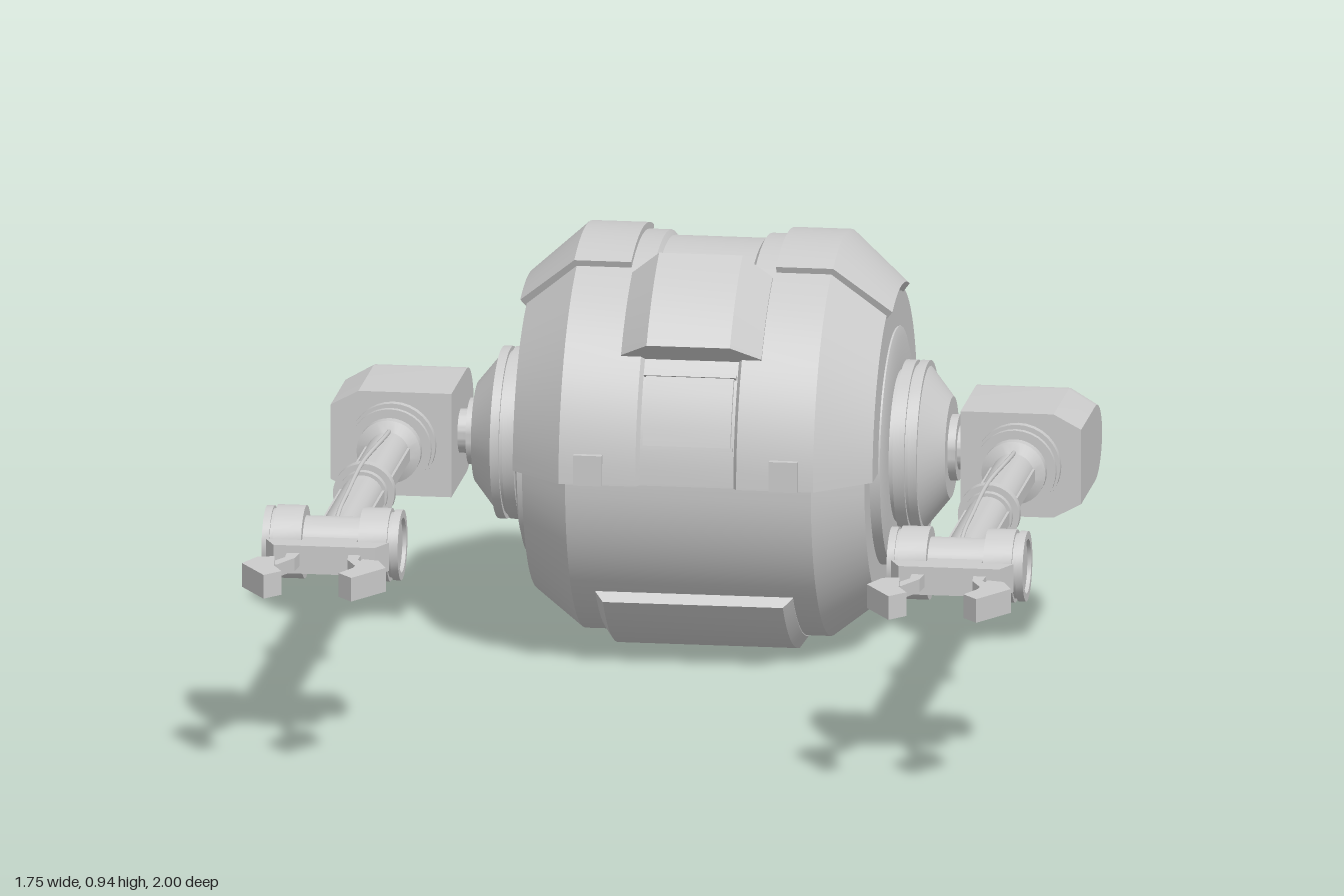
import * as THREE from 'three';
import { toCreasedNormals } from 'three/addons/utils/BufferGeometryUtils.js';

const mat = new THREE.MeshStandardMaterial({ color: 0xcccccc, side: THREE.DoubleSide });
const CY = 0.445, CZ = -0.53; // body axis
const ARM_X = 0.712;

function add(parent, name, geo, x = 0, y = 0, z = 0) {
  const m = new THREE.Mesh(geo, mat);
  m.name = name;
  m.position.set(x, y, z);
  parent.add(m);
  return m;
}

const shapeOf = pts => new THREE.Shape(pts.map(p => new THREE.Vector2(p[0], p[1])));

// Closed [x, radius] outline swept about the x axis, degrees from +z up towards +y
function sweep(pts, from, to) {
  const steps = Math.max(4, Math.ceil((to - from) / 5));
  const g = new THREE.ExtrudeGeometry(shapeOf(pts), { depth: 1, steps, bevelEnabled: false });
  const p = g.attributes.position;
  for (let i = 0; i < p.count; i++) {
    const a = THREE.MathUtils.degToRad(to + (from - to) * p.getZ(i)), r = p.getY(i);
    p.setXYZ(i, p.getX(i), r * Math.sin(a), r * Math.cos(a));
  }
  return toCreasedNormals(g, 0.45);
}

// Mirrors the +x half of an outline (listed from the end towards the middle)
const mirrored = half => [...half, ...half.slice().reverse().map(([x, r]) => [-x, r])];

// Lathe of [radius, distance] points along +z or the x axis
function turned(pts, axis, segments = 32) {
  const g = new THREE.LatheGeometry(pts.map(p => new THREE.Vector2(p[0], p[1])), segments);
  if (axis === 'z') g.rotateX(Math.PI / 2);
  else g.rotateZ(-Math.PI / 2);
  return toCreasedNormals(g, 0.5);
}

// Flat plate outlined in [x, z], centred on y = 0
function plate(pts, thickness) {
  const g = new THREE.ExtrudeGeometry(shapeOf(pts), { depth: thickness, bevelEnabled: false });
  g.translate(0, 0, -thickness / 2);
  return g.rotateX(Math.PI / 2);
}

function makeBody() {
  const body = new THREE.Group();
  body.name = 'body';
  body.position.set(0, CY, CZ);
  const part = (name, pts, a, b) => add(body, name, sweep(pts, a, b));

  part('lowerShell', mirrored([[0.39, 0.1], [0.39, 0.35], [0.28, 0.435]]), 180, 360);
  part('upperShell', mirrored([[0.41, 0.1], [0.41, 0.36], [0.29, 0.47], [0.115, 0.47], [0.107, 0.458]]), 0, 180);

  // Hood and hatch on the front of the centre groove
  part('hood', mirrored([[0.16, 0.44], [0.16, 0.475], [0.095, 0.535]]), 36.5, 65);
  part('hatch', mirrored([[0.1, 0.44], [0.1, 0.468]]), 11.5, 31);
  for (const a of [10.5, 31]) part('hatchFrame', mirrored([[0.105, 0.44], [0.105, 0.473]]), a, a + 1);

  // Raised lower panels
  part('frontLowerPanel', mirrored([[0.225, 0.42], [0.225, 0.437], [0.205, 0.465]]), -80, -40);
  part('backLowerPanel', mirrored([[0.2, 0.42], [0.2, 0.45]]), 191, 214);

  for (const s of [1, -1]) {
    // Plates wrapping over the upper corners
    const cover = [[0.165, 0.44], [0.165, 0.485], [0.295, 0.485], [0.424, 0.37], [0.41, 0.35], [0.28, 0.44]];
    part('topPlate', cover.map(([x, r]) => [s * x, r]), 68, 112);
    add(body, 'frontLug', new THREE.BoxGeometry(0.065, 0.07, 0.06), s * 0.223, 0.035, 0.45);

    // Stepped shoulder socket
    const socket = turned([
      [0.27, 0.37], [0.27, 0.414], [0.25, 0.42], [0.172, 0.42], [0.172, 0.432], [0.195, 0.432], [0.195, 0.458],
      [0.185, 0.458], [0.185, 0.466], [0.195, 0.466], [0.195, 0.486], [0.182, 0.486], [0.115, 0.54],
      [0.075, 0.54], [0.075, 0.558], [0.05, 0.558], [0.05, 0.6], [0.001, 0.6]], 'x', 48);
    const m = add(body, 'shoulderSocket', socket);
    if (s < 0) m.rotation.y = Math.PI;
  }
  return body;
}

// Shoulder housing: block rounded at the back with a tapered outer face
function makeHousing(s) {
  const g = new THREE.Group();
  g.name = 'shoulderHousing';
  const shape = new THREE.Shape();
  shape.moveTo(0.385, -0.12);
  shape.lineTo(0.625, -0.12);
  shape.absarc(0.625, 0, 0.12, -Math.PI / 2, Math.PI / 2, false);
  shape.lineTo(0.385, 0.12);
  shape.closePath();
  const slab = (x, depth, taper) => {
    const e = new THREE.ExtrudeGeometry(shape, { depth, bevelEnabled: false, curveSegments: 20 });
    const p = e.attributes.position;
    for (let i = 0; i < p.count; i++) {
      const k = p.getZ(i) > depth / 2 ? taper : 1;
      p.setY(i, p.getY(i) * k);
      p.setX(i, 0.385 + (p.getX(i) - 0.385) * (1 - (1 - k) * 0.25));
    }
    e.rotateY(Math.PI / 2).translate(x, 0, 0);
    return toCreasedNormals(e, 0.5);
  };
  add(g, 'housingBlock', slab(0.58, 0.212, 1));
  add(g, 'housingCap', slab(0.792, 0.063, 0.72));
  g.position.y = CY;
  if (s < 0) g.rotation.z = Math.PI;
  return g;
}

function makeArm(s) {
  const arm = new THREE.Group();
  arm.name = s > 0 ? 'leftArm' : 'rightArm';
  arm.position.set(s * ARM_X, CY, 0);

  // Stepped collar, tube and mid-arm rings
  add(arm, 'armTube', turned([
    [0.098, -0.39], [0.098, -0.365], [0.085, -0.365], [0.085, -0.345], [0.093, -0.345], [0.093, -0.33],
    [0.073, -0.33], [0.073, -0.305], [0.048, -0.295], [0.048, 0.05], [0.056, 0.05], [0.056, 0.065],
    [0.07, 0.065], [0.07, 0.095], [0.056, 0.095], [0.056, 0.115], [0.048, 0.115], [0.048, 0.51], [0.03, 0.53]], 'z'));

  // Cable along the top and slim rails on the sides of the tube
  const path = new THREE.CatmullRomCurve3([
    [0, 0.045, -0.33], [0.008, 0.063, -0.2], [-0.004, 0.07, 0.08], [0, 0.066, 0.35], [0, 0.055, 0.49], [0, 0.03, 0.57],
  ].map(p => new THREE.Vector3(...p)));
  add(arm, 'cable', new THREE.TubeGeometry(path, 40, 0.005, 8));
  for (const k of [1, -1]) add(arm, 'armRail', new THREE.BoxGeometry(0.012, 0.03, 0.8), k * 0.045, 0, 0.11);

  // Wrist: narrow hub between two banded drums
  add(arm, 'wristHub', turned([[0.06, -0.08], [0.06, 0.08]], 'x'), 0, 0, 0.56);
  for (const k of [1, -1]) {
    const drum = add(arm, 'wristDrum', turned([
      [0.05, 0.065], [0.083, 0.065], [0.083, 0.13], [0.074, 0.13], [0.074, 0.138], [0.08, 0.138],
      [0.08, 0.155], [0.062, 0.155], [0.062, 0.146], [0.001, 0.146]], 'x'), 0, 0, 0.56);
    if (k < 0) drum.rotation.y = Math.PI;
  }

  // Gripper palm and fingers
  add(arm, 'palmNeck', new THREE.BoxGeometry(0.125, 0.05, 0.09), 0, 0, 0.645);
  add(arm, 'palm', plate([[-0.14, 0.675], [0.14, 0.675], [0.115, 0.73], [-0.115, 0.73]], 0.065));
  for (const k of [1, -1]) {
    const flip = pts => pts.map(([x, z]) => [k * x, z]);
    add(arm, 'fingerLink', plate(flip([[0.055, 0.72], [0.085, 0.72], [0.083, 0.77], [0.118, 0.84], [0.092, 0.845], [0.06, 0.775]]), 0.03));
    add(arm, 'fingerClaw', plate(flip([[0.138, 0.825], [0.1, 0.815], [0.09, 0.9], [0.065, 0.953], [0.1, 0.995], [0.164, 0.89]]), 0.055));
  }
  return arm;
}

export function createModel() {
  const model = new THREE.Group();
  model.name = 'twoArmedPod';
  model.add(makeBody());
  for (const s of [1, -1]) model.add(makeHousing(s), makeArm(s));
  return model;
}
